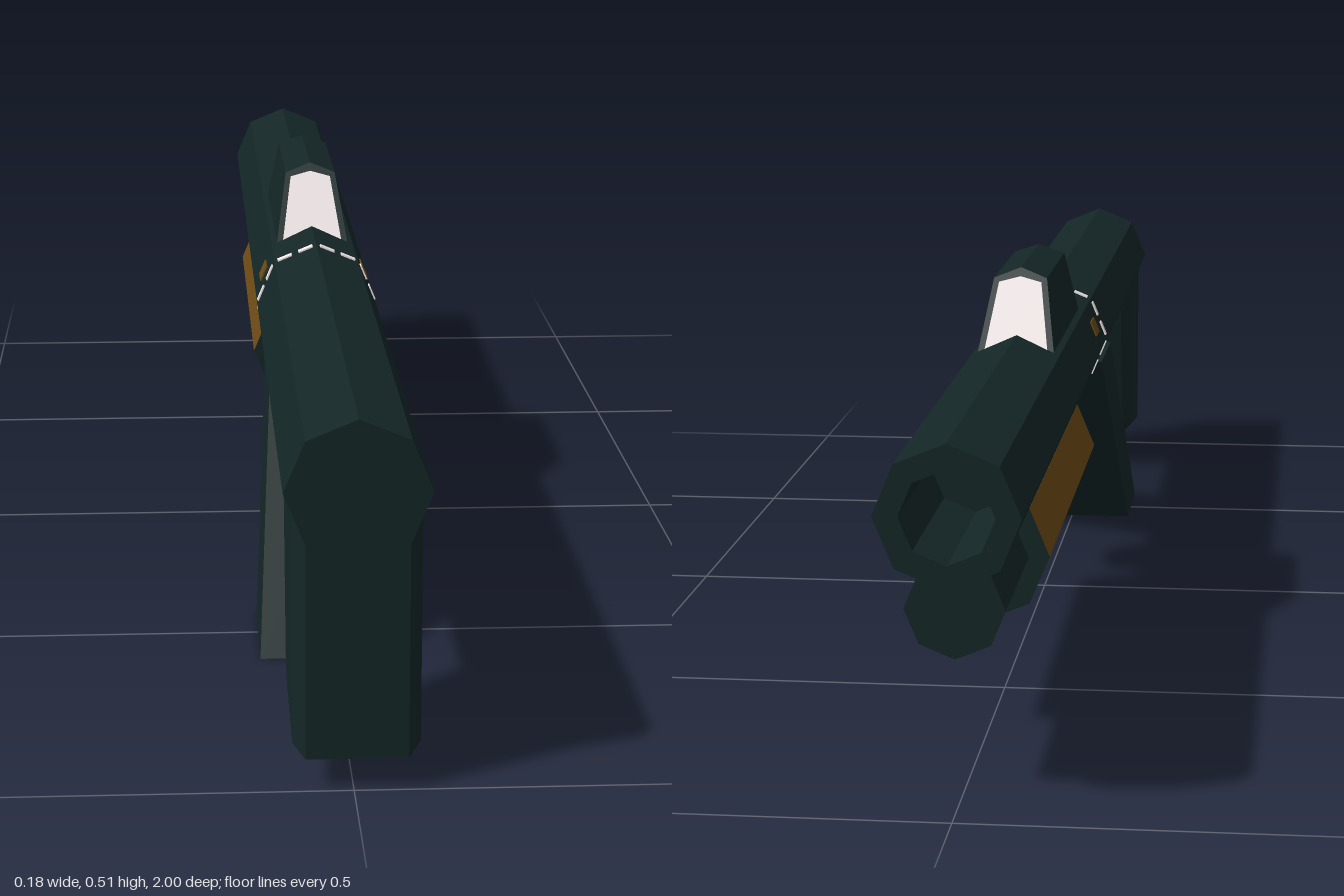
import * as THREE from 'three';

export function createModel() {
  const model = new THREE.Group();
  const paint = (color) => {
    const m = new THREE.MeshStandardMaterial({ flatShading: true });
    m.color.set(color);
    return m;
  };
  const dark = paint(0x142626);
  const gold = paint(0x6b4a14);
  const white = paint(0xf4eaea);
  const CX = 0.0035, AXIS_Y = 0.343, R = 0.0815;

  const add = (name, geometry, material, x = CX, y = 0, z = 0) => {
    const mesh = new THREE.Mesh(geometry, material);
    mesh.name = name;
    mesh.position.set(x, y, z);
    model.add(mesh);
    return mesh;
  };
  const outline = (pts) => pts.map(([a, b]) => new THREE.Vector2(a, b));

  // Side profile of [z, y] points, extruded across x and centred
  const sideExtrude = (pts, width, { hole, bevel = 0 } = {}) => {
    const shape = new THREE.Shape(outline(pts));
    if (hole) shape.holes.push(new THREE.Path(outline(hole)));
    const depth = width - 2 * bevel;
    const g = new THREE.ExtrudeGeometry(shape, {
      depth, bevelEnabled: bevel > 0, bevelSegments: 1,
      bevelSize: bevel, bevelThickness: bevel, bevelOffset: -bevel,
    });
    return g.translate(0, 0, -depth / 2).rotateY(-Math.PI / 2);
  };

  // Octagonal barrel with a bored muzzle at -z
  const bore = [[0, -0.75], [0.053, -0.75], [0.053, -1], [R, -1], [R, 1], [0, 1]];
  add('barrel', new THREE.LatheGeometry(outline(bore), 8).rotateX(Math.PI / 2), dark, CX, AXIS_Y);

  // Tube under the barrel and the gold fore grip around it, with dark ends
  const octagon = (r, length) => new THREE.CylinderGeometry(r, r, length, 8).rotateX(Math.PI / 2);
  add('lowerTube', octagon(0.057, 0.8), dark, 0.005, 0.222, -0.53);
  add('foreGrip', octagon(0.082, 0.63), [gold, dark, dark], 0.005, 0.224, -0.38);

  // Shoulder stock with chamfered edges
  add('stock', sideExtrude(
    [[0.999, 0.037], [0.83, 0.056], [0.805, 0.075], [0.735, 0.34], [0.999, 0.34]],
    0.142, { bevel: 0.014 }), dark);

  // Slanted handle, flaring outward on its right side toward the bottom
  const handle = sideExtrude([[0.595, 0], [0.435, 0], [0.17, 0.3], [0.34, 0.3]], 0.14);
  const pos = handle.attributes.position;
  for (let i = 0; i < pos.count; i++) {
    const t = 1 - pos.getY(i) / 0.3;
    pos.setX(i, pos.getX(i) > 0 ? 0.075 : -0.068 - 0.022 * t);
  }
  add('handle', handle, dark, 0);

  // Trigger guard loop
  add('triggerGuard', sideExtrude(
    [[0.15, 0.3], [0.15, 0.178], [0.122, 0.145], [0.075, 0.145], [0.015, 0.18], [-0.005, 0.3]],
    0.045,
    { hole: [[0.13, 0.285], [0.13, 0.186], [0.113, 0.167], [0.08, 0.167], [0.033, 0.194], [0.018, 0.285]] }), dark);

  // Sight housing: a cross-section along z whose ends lean with height
  const sight = (half, extra) => {
    const shape = new THREE.Shape(outline([...half, ...half.slice(0, -1).reverse().map(([x, y]) => [-x, y])]));
    const g = new THREE.ExtrudeGeometry(shape, { depth: 1, bevelEnabled: false });
    const p = g.attributes.position;
    for (let i = 0; i < p.count; i++) {
      const lean = (p.getY(i) - 0.42) * 0.65;
      p.setZ(i, p.getZ(i) > 0.5 ? 0.01 + extra - lean : -0.325 - extra + lean);
    }
    return g;
  };
  add('sightHousing', sight([[0.052, 0.39], [0.035, 0.493], [0, 0.506]], 0), dark);
  add('sightLenses', sight([[0.043, 0.395], [0.028, 0.488], [0, 0.495]], 0.002), white);

  // Thin plates lying on a barrel face at the given angle
  const plate = (name, material, angle, along, length, depth, z) => {
    const a = R * Math.cos(Math.PI / 8);
    const g = new THREE.BoxGeometry(length, 0.004, depth)
      .translate(along, a, 0).rotateZ(angle - Math.PI / 2);
    add(name, g, material, CX, AXIS_Y, z);
  };
  for (let i = 0; i < 8; i++) {
    for (const s of [-1, 1]) {
      plate('ringDash', white, (i + 0.5) * Math.PI / 4, s * 0.0155, 0.021, 0.013, 0.133);
    }
  }
  for (const angle of [Math.PI / 8, Math.PI * 7 / 8]) {
    plate('sideMarker', gold, angle, 0, 0.022, 0.045, 0.057);
  }

  return model;
}
